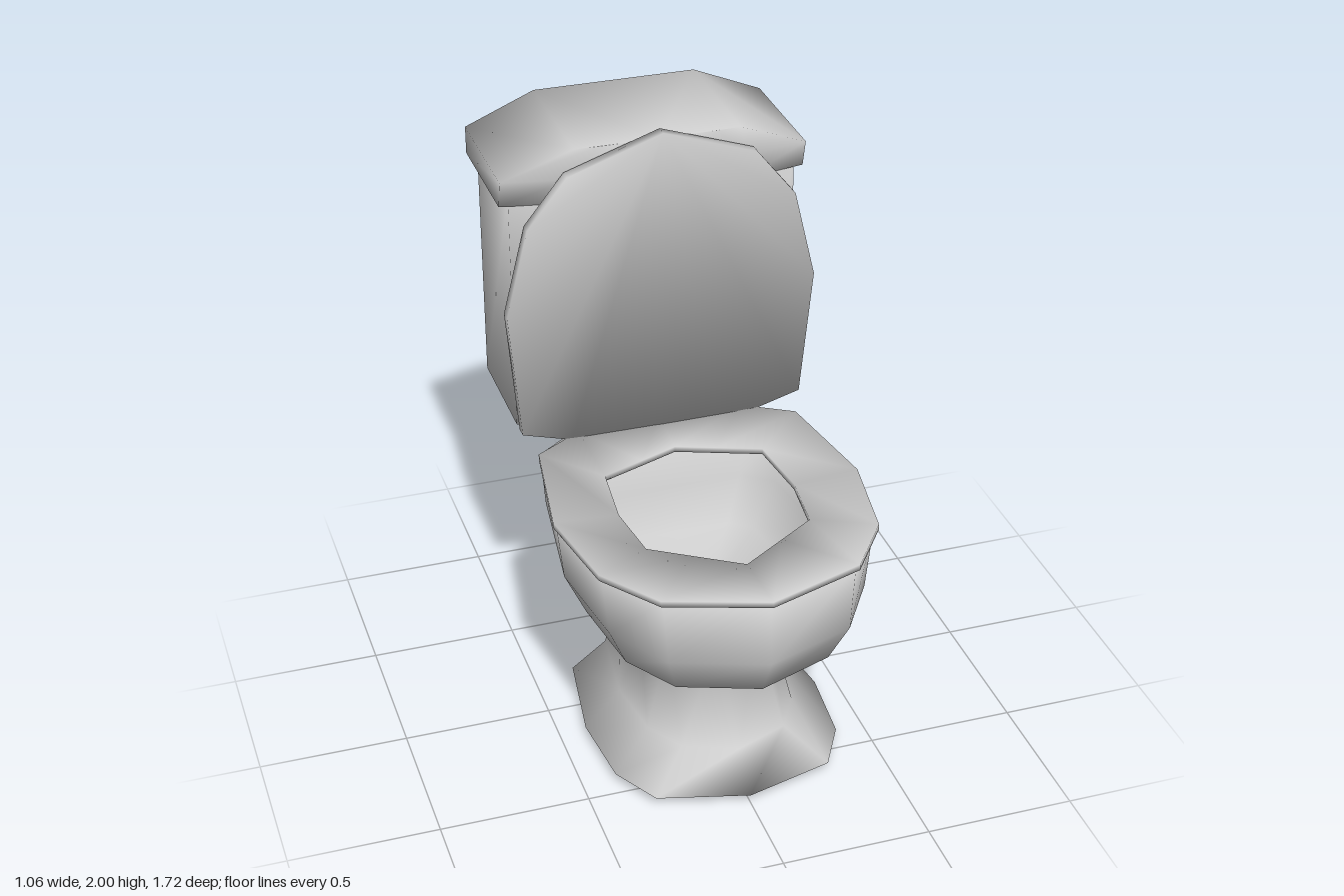
import * as THREE from 'three';
import { toCreasedNormals } from 'three/addons/utils/BufferGeometryUtils.js';

const material = new THREE.MeshStandardMaterial({ color: 0xcccccc, side: THREE.DoubleSide });

// Completes a half outline [x, z], listed from front to back, with its mirror image.
function mirror(half) {
  const other = half.filter(([x]) => x > 0).reverse().map(([x, z]) => [-x, z]);
  return [...half, ...other];
}

// Skins a list of equal-length rings of points with soft shading; ends are capped or joined up.
function loft(name, rings, closed = false) {
  const n = rings[0].length;
  const pos = [];
  const tri = (...corners) => corners.forEach((p) => pos.push(...p));
  const last = closed ? rings.length : rings.length - 1;
  for (let k = 0; k < last; k++) {
    const a = rings[k];
    const b = rings[(k + 1) % rings.length];
    for (let i = 0; i < n; i++) {
      const j = (i + 1) % n;
      tri(a[i], a[j], b[j]);
      tri(a[i], b[j], b[i]);
    }
  }
  if (!closed) {
    const first = rings[0];
    const end = rings[rings.length - 1];
    for (let i = 1; i < n - 1; i++) {
      tri(first[0], first[i + 1], first[i]);
      tri(end[0], end[i], end[i + 1]);
    }
  }
  const geometry = new THREE.BufferGeometry();
  geometry.setAttribute('position', new THREE.Float32BufferAttribute(pos, 3));
  const mesh = new THREE.Mesh(toCreasedNormals(geometry, Math.PI), material);
  mesh.name = name;
  return mesh;
}

const level = (half, y) => mirror(half).map(([x, z]) => [x, y, z]);

// Bowl outline: fraction of half width, fraction of length from back to front.
const OVAL = [[0, 1], [0.625, 0.91], [0.895, 0.74], [1, 0.45], [0.875, 0.08], [0.63, 0], [0, 0]];
const oval = (y, width, front, back) =>
  level(OVAL.map(([x, t]) => [x * width, back + t * (front - back)]), y);

// Pipe in the x = 0 plane; each stop is [z, y, angle from +y towards -z].
function pipe(name, stops, rx, r, sides = 8) {
  const rings = stops.map(([z, y, angle]) => {
    const dy = Math.cos(angle);
    const dz = -Math.sin(angle);
    return Array.from({ length: sides }, (_, i) => {
      const t = ((i + 0.5) / sides) * Math.PI * 2;
      const s = Math.sin(t) * r;
      return [Math.cos(t) * rx, y + s * dz, z - s * dy];
    });
  });
  return loft(name, rings);
}

export function createModel() {
  const group = new THREE.Group();

  // Pedestal and bowl, outside from foot to rim, then down the inside
  const foot = [[0, 0.685], [0.3, 0.605], [0.39, 0.443], [0.415, 0.17], [0.365, -0.17], [0.26, -0.245], [0, -0.245]];
  group.add(loft('bowl', [
    level(foot, 0.032),
    oval(0.14, 0.285, 0.57, -0.21),
    oval(0.38, 0.25, 0.32, -0.18),
    oval(0.53, 0.41, 0.775, -0.27),
    oval(0.68, 0.48, 0.855, -0.35),
    oval(0.9, 0.507, 0.84, -0.31),
    oval(0.9, 0.44, 0.76, -0.23),
    oval(0.68, 0.42, 0.74, -0.22),
    oval(0.56, 0.3, 0.55, -0.12),
    oval(0.47, 0.13, 0.3, 0.02),
  ]));

  // Seat ring
  const outer = [[0, 0.86], [0.325, 0.75], [0.465, 0.555], [0.52, 0.225], [0.455, -0.19], [0.29, -0.29], [0, -0.31]];
  const hole = [[0, 0.615], [0.15, 0.517], [0.275, 0.435], [0.3, 0.22], [0.275, -0.02], [0.13, -0.075], [0, -0.125]];
  group.add(loft('seat', [
    level(hole, 0.88),
    level(outer, 0.897),
    level(outer, 0.918),
    level(hole, 0.9),
  ], true));

  // Raised seat cover, a thin plate leaning slightly forward at the top
  const cover = mirror([[0, 2], [0.32, 1.89], [0.455, 1.72], [0.53, 1.41], [0.49, 0.96], [0.32, 0.91], [0, 0.9]]);
  const plate = (depth) => cover.map(([x, y]) => [-x, y, depth + (y - 0.9) * 0.022]);
  group.add(loft('seatCover', [plate(-0.3), plate(-0.259)]));

  // Cistern with rounded front corners and a tapered underside
  const body = [[0, -0.31], [0.33, -0.312], [0.487, -0.35], [0.487, -0.755], [0.3, -0.755]];
  const under = [[0, -0.32], [0.25, -0.325], [0.32, -0.37], [0.32, -0.75], [0.22, -0.755]];
  group.add(loft('cistern', [level(under, 0.875), level(body, 0.95), level(body, 1.8)]));

  // Cistern lid with sloping shoulders
  const lidEdge = (z) => [[0, z], [0.3, z], [0.518, z - 0.04], [0.518, -0.783]];
  group.add(loft('cisternLid', [
    level(lidEdge(-0.31), 1.765),
    level(lidEdge(-0.285), 1.86),
    level([[0, -0.285], [0.2, -0.285], [0.28, -0.29], [0.28, -0.783]], 1.96),
  ]));

  // Waste pipe from the pedestal to the floor
  const back = Math.PI / 2;
  group.add(pipe('wastePipe', [
    [-0.17, 0.352, back], [-0.29, 0.352, back + 0.15], [-0.38, 0.302, back + 1.0], [-0.421, 0, Math.PI],
  ], 0.1, 0.102));

  // Flush pipe between cistern and bowl
  group.add(pipe('flushPipe', [
    [-0.29, 0.782, back], [-0.425, 0.782, back - 0.2], [-0.462, 0.812, 0.6], [-0.466, 0.9, 0],
  ], 0.06, 0.058));

  // Water inlet under the cistern, running backwards
  group.add(pipe('inletPipe', [
    [-0.66, 0.9, Math.PI], [-0.662, 0.85, Math.PI - 0.1], [-0.69, 0.812, back + 0.4], [-0.857, 0.805, back],
  ], 0.05, 0.027, 6));

  return group;
}
